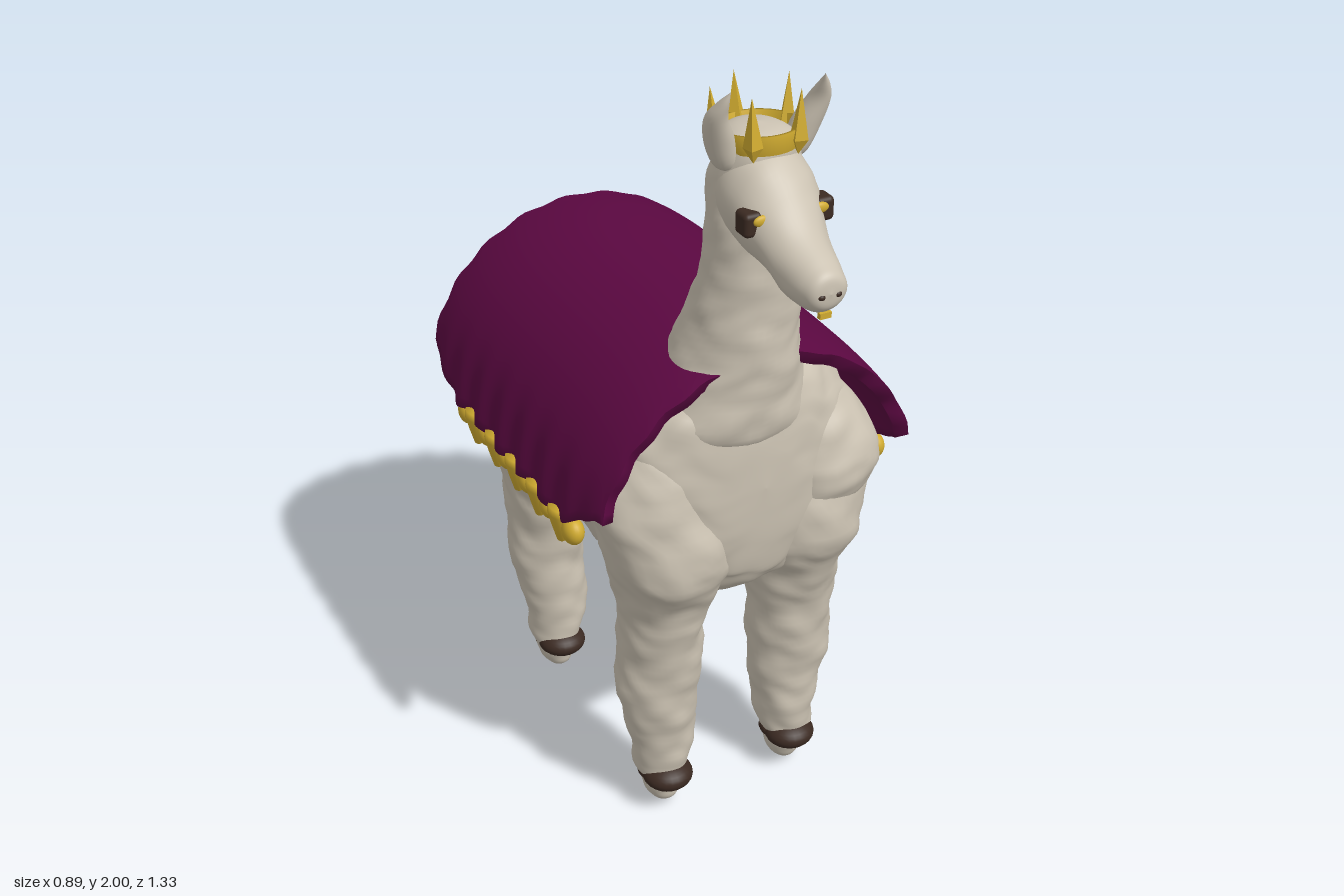
import * as THREE from 'three';
import { RoundedBoxGeometry } from 'three/addons/geometries/RoundedBoxGeometry.js';

const mat = (name, color, extra = {}) => Object.assign(new THREE.MeshStandardMaterial({ color, ...extra }), { name });

// Lumpy fleece offset, roughly -1..1: broad clumps plus finer tufts
const waves = (x, y, z) => Math.sin(x + 1.3 * Math.sin(y * 0.7)) * Math.sin(y + 1.1 * Math.sin(z * 0.8)) + 0.6 * Math.sin(z + Math.sin(x * 0.9)) * Math.cos(y * 0.8 + 1);
const lump = (p) => 0.5 * waves(24 * p.x + 1, 25 * p.y, 23 * p.z) + 0.35 * waves(50 * p.z, 57 * p.y + 2, 54 * p.x);

// Skin a list of closed rings; the winding is turned outwards by signed volume
function skin(rings) {
  const n = rings[0].length, idx = [], pts = rings.flat();
  for (let i = 0; i < rings.length - 1; i++)
    for (let j = 0; j < n; j++) {
      const a = i * n + j, b = i * n + (j + 1) % n;
      idx.push(a, b, a + n, b, b + n, a + n);
    }
  let vol = 0;
  const c = new THREE.Vector3();
  for (let i = 0; i < idx.length; i += 3)
    vol += pts[idx[i]].dot(c.crossVectors(pts[idx[i + 1]], pts[idx[i + 2]]));
  if (vol < 0) idx.reverse();
  const g = new THREE.BufferGeometry().setFromPoints(pts);
  g.setIndex(idx);
  g.computeVertexNormals();
  return g;
}

// Smooth loft through sections [x, y, z, radiusX, radius2], stacked along 'y' or 'z'
function loft(sections, axis, amp = 0, steps = 50, sides = 40) {
  const curve = (f) => new THREE.CatmullRomCurve3(sections.map(f), false, 'catmullrom', 0.5);
  const mid = curve((s) => new THREE.Vector3(s[0], s[1], s[2]));
  const rad = curve((s) => new THREE.Vector3(s[3], s[4], 0));
  const rings = [];
  for (let i = 0; i <= steps; i++) {
    const c = mid.getPoint(i / steps), r = rad.getPoint(i / steps), ring = [];
    for (let j = 0; j < sides; j++) {
      const a = (j / sides) * Math.PI * 2;
      const u = Math.cos(a), v = Math.sin(a);
      const at = (k) => axis === 'y'
        ? new THREE.Vector3(c.x + u * (Math.max(r.x, 0) + k), c.y, c.z + v * (Math.max(r.y, 0) + k))
        : new THREE.Vector3(c.x + u * (Math.max(r.x, 0) + k), c.y + v * (Math.max(r.y, 0) + k), c.z);
      ring.push(at(amp * lump(at(0)) * THREE.MathUtils.clamp(Math.min(r.x, r.y) / 0.06, 0, 1)));
    }
    rings.push(ring);
  }
  return skin(rings);
}

// Arched cloth: hollow crescent sections with scalloped lower edges
function blanketGeometry() {
  const rings = [], nz = 80, na = 48;
  for (let i = 0; i <= nz; i++) {
    const t = i / nz, z = 0.395 - t * 0.99, end = Math.abs(2 * t - 1);
    const thick = i === 0 || i === nz ? 0 : 0.034;
    const lift = 0.03 + 0.19 * THREE.MathUtils.smoothstep(end, 0.62, 1) + 0.008 * Math.sin(z * 70);
    const crown = 0.435 - 0.022 * end ** 4;
    const ring = [];
    const add = (a, inset) => {
      const hang = Math.abs(Math.cos(a)) ** 24;
      const rx = 0.436 - inset - 0.014 * end ** 6 + 0.011 * hang * Math.cos(z * 50) * (1 - end ** 3);
      ring.push(new THREE.Vector3(rx * Math.cos(a), 0.92 + (crown - inset) * Math.sin(a),
        z + (end > 0.97 ? 0.006 * Math.sin(a * 22) : 0)));
    };
    for (let j = 0; j <= na; j++) add(lift + (Math.PI - 2 * lift) * (j / na), 0);
    for (let j = na; j >= 0; j--) add(lift + (Math.PI - 2 * lift) * (j / na), thick);
    rings.push(ring);
  }
  return skin(rings);
}

const lathe = (points, sides) => new THREE.LatheGeometry(points.map(([x, y]) => new THREE.Vector2(x, y)), sides);

export function createModel() {
  const model = new THREE.Group();
  const wool = mat('wool cream', 0xcbc2b2);
  const purple = mat('cloth purple', 0x5b0841, { side: THREE.DoubleSide });
  const gold = mat('gold', 0xd0ab30);
  const brown = mat('dark brown', 0x3b2a22);
  const add = (name, geo, material, x = 0, y = 0, z = 0) => {
    const m = new THREE.Mesh(geo, material);
    m.name = name;
    m.position.set(x, y, z);
    model.add(m);
    return m;
  };

  // Trunk
  add('body', loft([
    [0, 1.0, 0.42, 0, 0], [0, 1.0, 0.412, 0.1, 0.15], [0, 1.0, 0.39, 0.19, 0.25], [0, 0.99, 0.35, 0.27, 0.3], [0, 0.98, 0.28, 0.33, 0.325],
    [0, 0.97, 0.15, 0.35, 0.33], [0, 0.965, 0, 0.345, 0.335], [0, 0.985, -0.2, 0.345, 0.315],
    [0, 1.0, -0.4, 0.335, 0.31], [0, 1.0, -0.5, 0.29, 0.29], [0, 1.0, -0.56, 0.22, 0.25], [0, 1.01, -0.6, 0.13, 0.18], [0, 1.02, -0.62, 0, 0],
  ], 'z', 0.014, 100, 96), wool);
  // Tail tuft
  add('tail', loft([
    [0, 0.82, -0.55, 0, 0], [0, 0.85, -0.55, 0.07, 0.05], [0.005, 0.94, -0.56, 0.11, 0.075], [0.005, 1.04, -0.56, 0.125, 0.1],
    [0, 1.13, -0.55, 0.11, 0.085], [0, 1.2, -0.53, 0.07, 0.06], [0, 1.23, -0.52, 0, 0],
  ], 'y', 0.01), wool);

  // Neck and head
  add('neck', loft([
    [-0.02, 1.08, 0.24, 0, 0], [-0.02, 1.12, 0.24, 0.2, 0.17], [-0.018, 1.25, 0.27, 0.175, 0.16], [-0.01, 1.36, 0.29, 0.142, 0.145],
    [0, 1.5, 0.32, 0.12, 0.115], [0, 1.65, 0.335, 0.11, 0.1], [0, 1.78, 0.34, 0.102, 0.095],
    [0, 1.85, 0.345, 0.085, 0.085], [0, 1.875, 0.345, 0.055, 0.055], [0, 1.885, 0.345, 0, 0],
  ], 'y', 0.007, 80, 48), wool);
  add('head', loft([
    [0, 1.615, 0.664, 0, 0], [0, 1.615, 0.656, 0.038, 0.036], [0, 1.617, 0.625, 0.056, 0.056],
    [0, 1.635, 0.56, 0.07, 0.076], [0, 1.68, 0.5, 0.084, 0.09], [0, 1.72, 0.43, 0.103, 0.116],
    [0, 1.74, 0.34, 0.102, 0.12], [0, 1.74, 0.27, 0.05, 0.06], [0, 1.74, 0.25, 0, 0],
  ], 'z', 0.004), wool);
  add('tooth', new THREE.BoxGeometry(0.028, 0.014, 0.012), gold, 0, 1.557, 0.64);

  const ball = new THREE.SphereGeometry(1, 24, 16);
  const eye = new RoundedBoxGeometry(0.045, 0.056, 0.052, 3, 0.012);
  const drop = lathe([[0, -0.062], [0.013, -0.056], [0.028, -0.018], [0.041, 0.02], [0.037, 0.038], [0, 0.05]], 20);

  // Thicker fleece on the left shoulder
  add('shoulderFleece', loft([
    [0.2, 0.8, 0.27, 0, 0], [0.2, 0.83, 0.27, 0.1, 0.09], [0.215, 0.92, 0.27, 0.155, 0.15], [0.215, 1.0, 0.265, 0.16, 0.16],
    [0.19, 1.1, 0.26, 0.13, 0.13], [0.17, 1.18, 0.25, 0.08, 0.08], [0.16, 1.21, 0.25, 0, 0],
  ], 'y', 0.008), wool);

  for (const s of [1, -1]) {
    const side = s > 0 ? 'left' : 'right';
    // Face details
    add(side + 'Nostril', ball, brown, s * 0.02, 1.61, 0.658).scale.set(0.009, 0.007, 0.007);
    add(side + 'Eye', eye, brown, s * 0.088, 1.718, 0.468);
    add(side + 'EyeGlint', ball, gold, s * 0.07, 1.728, 0.495).scale.set(0.022, 0.013, 0.008);
    add(side + 'Ear', loft([
      [s * 0.08, 1.79, 0.36, 0, 0], [s * 0.085, 1.81, 0.36, 0.028, 0.028], [s * 0.105, 1.87, 0.368, 0.034, 0.036],
      [s * 0.124, 1.93, 0.388, 0.024, 0.03], [s * 0.121, 1.97, 0.412, 0.012, 0.016], [s * 0.113, 2.0, 0.43, 0, 0],
    ], 'y', 0, 24, 20), wool);

    // Legs
    add(side + 'FrontLeg', loft([
      [s * 0.17, 1.16, 0.23, 0, 0], [s * 0.19, 1.12, 0.235, 0.11, 0.11], [s * 0.21, 0.99, 0.245, 0.16, 0.15],
      [s * 0.178, 0.8, 0.265, 0.155, 0.165], [s * 0.178, 0.68, 0.245, 0.125, 0.135], [s * 0.183, 0.56, 0.235, 0.108, 0.11],
      [s * 0.188, 0.4, 0.23, 0.108, 0.098], [s * 0.18, 0.25, 0.225, 0.09, 0.085], [s * 0.18, 0.13, 0.232, 0.068, 0.068],
      [s * 0.18, 0.06, 0.238, 0.05, 0.046], [s * 0.18, 0.025, 0.24, 0.032, 0.032], [s * 0.18, 0, 0.24, 0, 0],
    ], 'y', 0.009, 90, 48), wool);
    add(side + 'HindLeg', loft([
      [s * 0.15, 1.25, -0.46, 0, 0], [s * 0.15, 1.22, -0.46, 0.09, 0.09], [s * 0.18, 1.04, -0.45, 0.15, 0.145],
      [s * 0.185, 0.85, -0.43, 0.155, 0.165], [s * 0.183, 0.7, -0.425, 0.125, 0.155], [s * 0.185, 0.56, -0.435, 0.108, 0.122],
      [s * 0.188, 0.4, -0.44, 0.104, 0.105], [s * 0.18, 0.25, -0.415, 0.088, 0.085], [s * 0.18, 0.13, -0.405, 0.068, 0.068],
      [s * 0.18, 0.06, -0.4, 0.05, 0.046], [s * 0.18, 0.025, -0.4, 0.032, 0.032], [s * 0.18, 0, -0.4, 0, 0],
    ], 'y', 0.009, 90, 48), wool);
    // Hooves: toe cap with broken patches around the heel
    for (const [name, z] of [['Front', 0.235], ['Hind', -0.402]]) {
      add(side + name + 'Hoof', ball, brown, s * 0.18, 0.105, z + 0.03).scale.set(0.065, 0.037, 0.064);
      for (const a of [-1.5, -0.9, 0.1, 0.7, 1.4]) {
        const patch = add(side + name + 'HoofPatch', ball, brown, s * 0.18 + 0.054 * Math.sin(a), 0.1 + 0.006 * Math.sin(a * 7), z - 0.054 * Math.cos(a));
        patch.scale.set(0.024, 0.014, 0.011);
        patch.rotation.y = -a;
      }
    }

    // Fringe of beads and drops along the cloth edge
    for (let i = 0; i < 11; i++) {
      const z = 0.24 - i * 0.062;
      if (i % 2) add(side + 'FringeDrop', drop, gold, s * 0.415, 0.903, z).scale.x = 0.7;
      else add(side + 'FringeBead', ball, gold, s * 0.412, 0.905, z).scale.set(0.026, 0.034, 0.034);
    }
  }

  add('blanket', blanketGeometry(), purple);

  // Crown: band with five diamond spikes, one at the back
  const crown = new THREE.Group();
  crown.name = 'crown';
  crown.position.set(0, 1.858, 0.348);
  crown.rotation.x = -0.06;
  const band = new THREE.Mesh(lathe([[0.081, -0.022], [0.088, -0.022], [0.094, 0.022], [0.086, 0.022], [0.081, -0.022]], 40), gold);
  band.name = 'crownBand';
  crown.add(band);
  const spikeGeo = lathe([[0, -0.035], [0.022, 0], [0, 0.112]], 4).toNonIndexed();
  spikeGeo.computeVertexNormals();
  for (let i = 0; i < 5; i++) {
    const a = Math.PI + (i / 5) * Math.PI * 2;
    const spike = new THREE.Mesh(spikeGeo, gold);
    spike.name = 'crownSpike';
    spike.position.set(Math.sin(a) * 0.095, 0, Math.cos(a) * 0.095);
    spike.rotation.set(0.06, a, 0, 'YXZ');
    crown.add(spike);
  }
  model.add(crown);
  return model;
}
